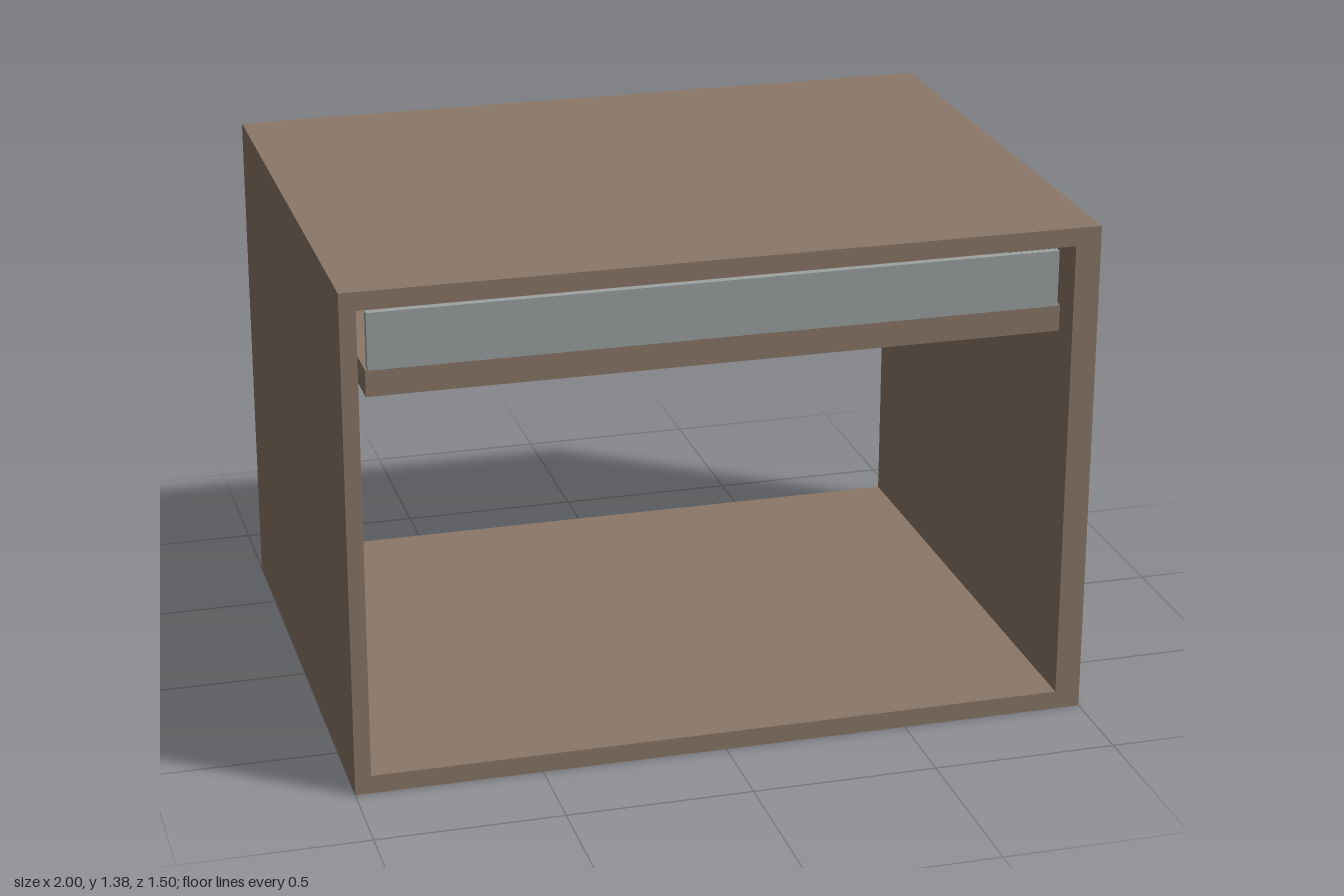
import * as THREE from 'three';

export function createModel() {
  const wood = new THREE.MeshStandardMaterial({ color: 0x8b7868 });
  wood.name = 'brown wood';
  const steel = new THREE.MeshStandardMaterial({ color: 0x9da2a3 });
  steel.name = 'grey steel';

  const model = new THREE.Group();
  model.name = 'cabinetWithTray';

  // Box given by its minimum and maximum on each axis
  function box(parent, name, material, [x0, x1], [y0, y1], [z0, z1]) {
    const mesh = new THREE.Mesh(new THREE.BoxGeometry(x1 - x0, y1 - y0, z1 - z0), material);
    mesh.position.set((x0 + x1) / 2, (y0 + y1) / 2, (z0 + z1) / 2);
    mesh.name = name;
    parent.add(mesh);
  }

  // Rectangular outline with a rectangular hole, extruded from a to a + depth
  function frame([x0, x1, y0, y1], [hx0, hx1, hy0, hy1], depth) {
    const rect = (Kind, l, r, b, t) => {
      const path = new Kind();
      path.moveTo(l, b).lineTo(r, b).lineTo(r, t).lineTo(l, t).closePath();
      return path;
    };
    const shape = rect(THREE.Shape, x0, x1, y0, y1);
    shape.holes.push(rect(THREE.Path, hx0, hx1, hy0, hy1));
    return new THREE.ExtrudeGeometry(shape, { depth, bevelEnabled: false });
  }

  // Cabinet shell, open at the front and the back
  const shell = new THREE.Mesh(
    frame([-1, 1, 0, 1.375], [-0.957, 0.931, 0.05, 1.326], 1.5), wood);
  shell.position.z = -0.75;
  shell.name = 'cabinetShell';
  model.add(shell);

  // Sliding tray: a frame with a recessed underside
  const tray = new THREE.Group();
  tray.name = 'slidingTray';
  model.add(tray);
  const rim = new THREE.Mesh(
    frame([-0.93, 0.914, -0.7, 0.53], [-0.84, 0.825, -0.635, 0.475], 0.072), wood);
  rim.rotation.x = -Math.PI / 2;
  rim.position.y = 1.078;
  rim.name = 'trayFrame';
  tray.add(rim);
  box(tray, 'trayPanel', wood, [-0.84, 0.825], [1.122, 1.15], [-0.475, 0.635]);
  box(tray, 'trayFrontPlate', steel, [-0.924, 0.906], [1.148, 1.3], [0.68, 0.701]);

  // Slide rails, one along each wall
  for (const [side, wall, inward] of [['right', -0.957, 1], ['left', 0.931, -1]]) {
    const rail = new THREE.Group();
    rail.name = side + 'Rail';
    model.add(rail);
    const span = (a, b) => [wall + inward * a, wall + inward * b].sort((p, q) => p - q);
    const long = [-0.67, 0.4];
    box(rail, 'railLedge', steel, span(0, 0.07), [1.041, 1.075], long);
    box(rail, 'railUpright', steel, span(0, 0.011), [1.075, 1.148], long);
    box(rail, 'railRunner', steel, span(0.011, inward > 0 ? 0.027 : 0.017), [1.1, 1.122], [-0.53, 0.4]);
  }
  return model;
}
